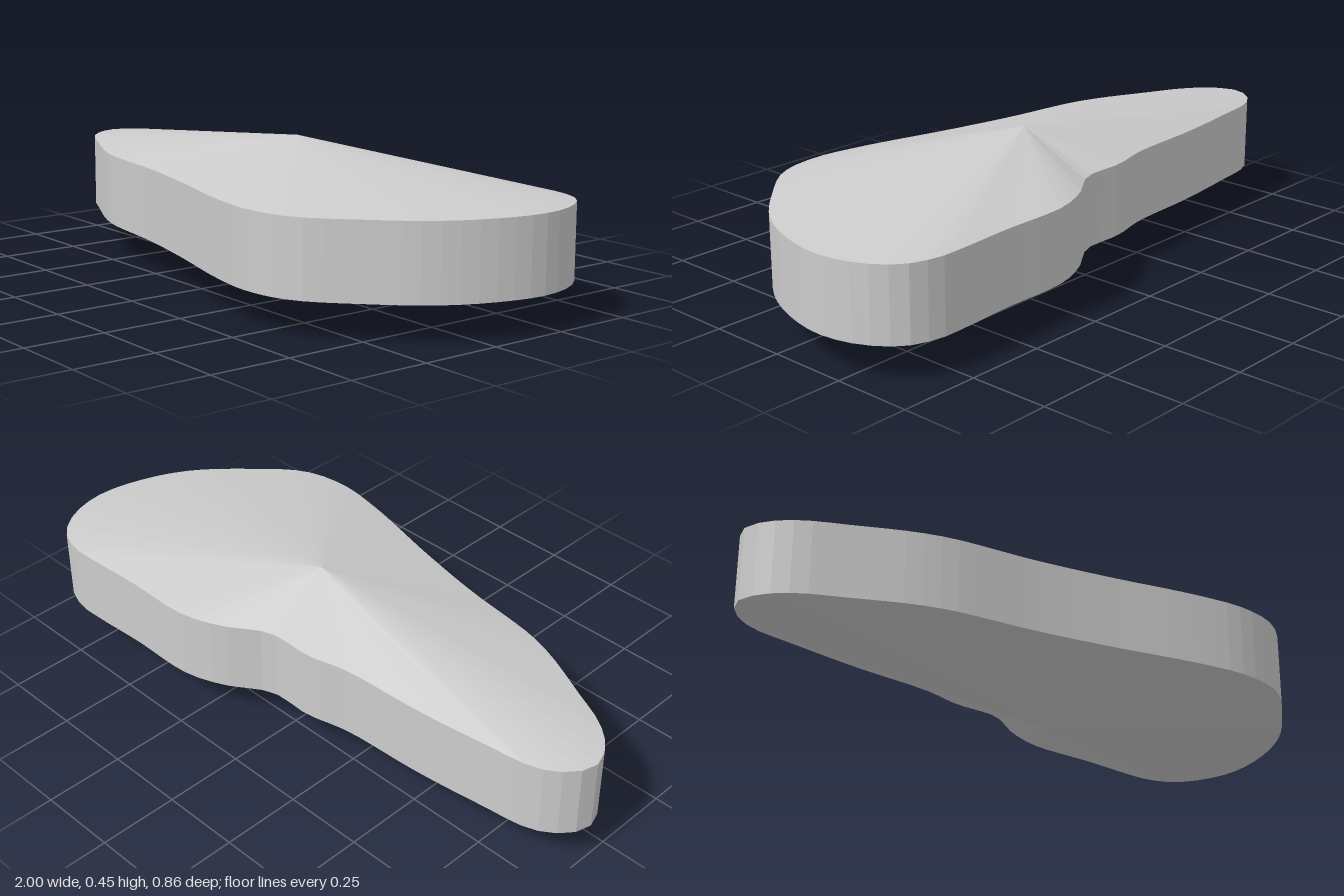
import * as THREE from 'three';

// Plan outline as [x, z], running from the narrow tip along the back to the wide end and round the front
const OUTLINE = [
  [-1, -0.07], [-0.98, -0.13], [-0.9, -0.195], [-0.72, -0.225], [-0.5, -0.25], [-0.235, -0.265],
  [-0.1, -0.295], [0.03, -0.295], [0.085, -0.315], [0.165, -0.37], [0.3, -0.42], [0.54, -0.425],
  [0.73, -0.435], [0.81, -0.433], [0.9, -0.4], [0.97, -0.31], [1, -0.18], [0.97, -0.02],
  [0.9, 0.125], [0.78, 0.26], [0.62, 0.395], [0.47, 0.427], [0.3, 0.405], [0, 0.33],
  [-0.235, 0.28], [-0.5, 0.24], [-0.61, 0.205], [-0.77, 0.13], [-0.9, 0.065], [-0.97, 0],
];
const SEGMENTS = 90;
const LOW = 0.112, HIGH = 0.34; // wall heights
const APEX_X = 0.07, APEX_Z = -0.063, TOP = 0.45, BOTTOM = 0;

function createModel() {
  const group = new THREE.Group();
  group.name = 'taperedSlab';
  const material = new THREE.MeshStandardMaterial({ color: 0xcccccc, flatShading: true });

  const curve = new THREE.CatmullRomCurve3(
    OUTLINE.map(([x, z]) => new THREE.Vector3(x, 0, z)), true);
  const ring = curve.getSpacedPoints(SEGMENTS).slice(0, SEGMENTS);

  // Builds one mesh from the triangles made for each outline edge
  const addPart = (name, trianglesForEdge) => {
    const positions = [];
    ring.forEach((a, i) => {
      const b = ring[(i + 1) % SEGMENTS];
      positions.push(...trianglesForEdge(a, b).flat());
    });
    const geometry = new THREE.BufferGeometry();
    geometry.setAttribute('position', new THREE.Float32BufferAttribute(positions, 3));
    geometry.computeVertexNormals();
    const mesh = new THREE.Mesh(geometry, material);
    mesh.name = name;
    group.add(mesh);
  };
  const at = (p, y) => [p.x, y, p.z];

  // Upright side wall
  addPart('sideWall', (a, b) => [
    at(a, LOW), at(b, LOW), at(b, HIGH),
    at(a, LOW), at(b, HIGH), at(a, HIGH),
  ]
    .reduce((list, p, i, all) => (i % 3 ? list : [...list, all[i], all[i + 2], all[i + 1]]), []));

  // Shallow cones rising and falling to a shared centre line
  addPart('topCone', (a, b) => [[APEX_X, TOP, APEX_Z], at(b, HIGH), at(a, HIGH)]);
  addPart('bottomCone', (a, b) => [[APEX_X, BOTTOM, APEX_Z], at(a, LOW), at(b, LOW)]);

  return group;
}

export { createModel };
